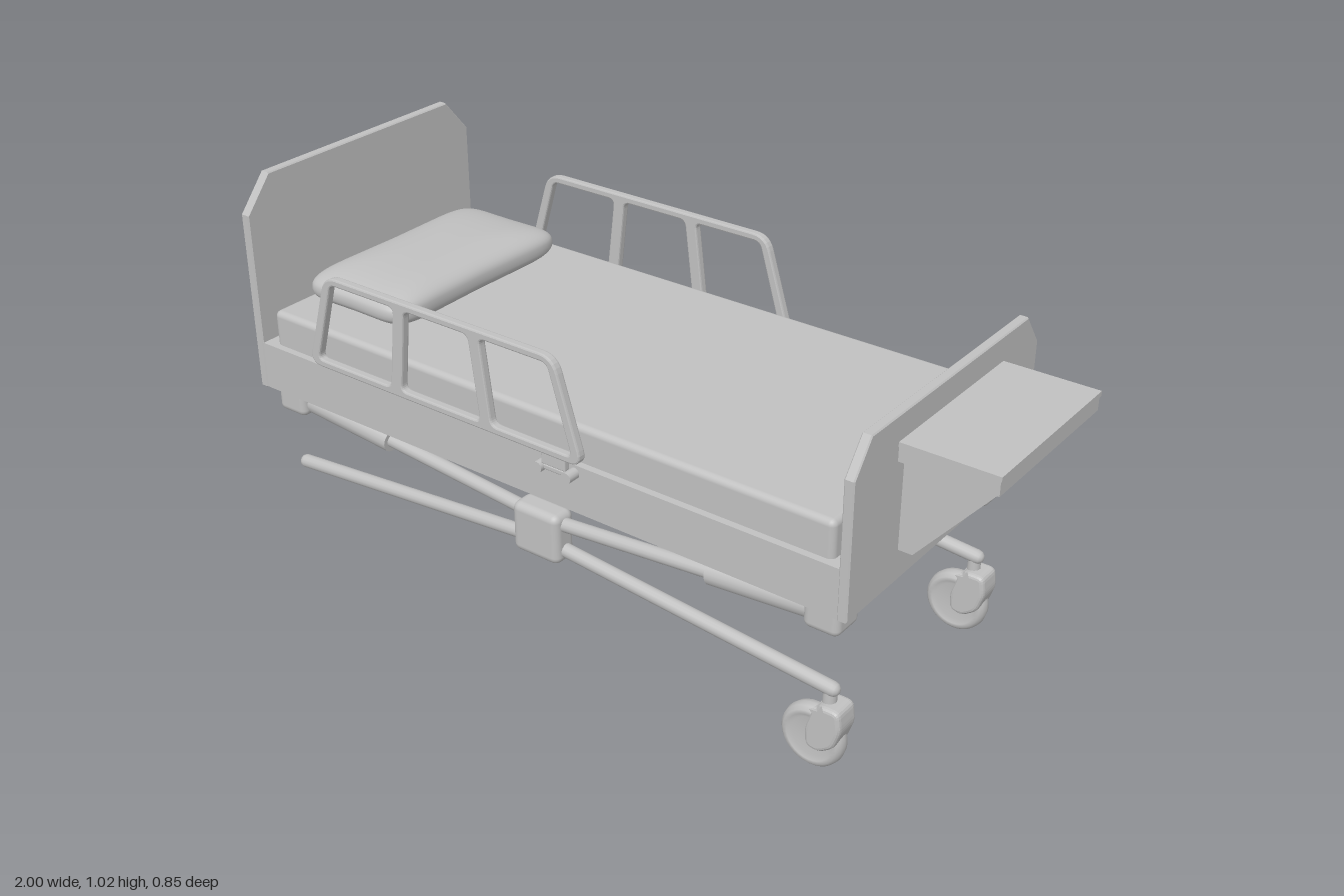
import * as THREE from 'three';
import { mergeVertices } from 'three/addons/utils/BufferGeometryUtils.js';
import { RoundedBoxGeometry } from 'three/addons/geometries/RoundedBoxGeometry.js';

const grey = new THREE.MeshStandardMaterial({ color: 0xc0c0c0 });
grey.name = 'grey';

function add(parent, name, geometry, x = 0, y = 0, z = 0) {
  const mesh = new THREE.Mesh(geometry, grey);
  mesh.name = name;
  mesh.position.set(x, y, z);
  parent.add(mesh);
  return mesh;
}

// Box given by its limits on each axis, with optional rounded edges
function block(parent, name, [x0, x1], [y0, y1], [z0, z1], r = 0) {
  const s = [x1 - x0, y1 - y0, z1 - z0];
  const g = r ? new RoundedBoxGeometry(...s, 3, r) : new THREE.BoxGeometry(...s);
  return add(parent, name, g, (x0 + x1) / 2, (y0 + y1) / 2, (z0 + z1) / 2);
}

// Round bar between two points in the xy plane
function bar(parent, name, [x0, y0], [x1, y1], r, z = 0) {
  const length = Math.hypot(x1 - x0, y1 - y0);
  const g = new THREE.CapsuleGeometry(r, length - r, 3, 14);
  const m = add(parent, name, g, (x0 + x1) / 2, (y0 + y1) / 2, z);
  m.rotation.z = Math.atan2(y1 - y0, x1 - x0) - Math.PI / 2;
  return m;
}

const points = (list) => list.map(([x, y]) => new THREE.Vector2(x, y));

// Closed outline with rounded corners
function roundedPath(list, r, Type) {
  const p = points(list);
  const path = new Type();
  p.forEach((c, i) => {
    const toPrev = p[(i + p.length - 1) % p.length].clone().sub(c).setLength(r).add(c);
    const toNext = p[(i + 1) % p.length].clone().sub(c).setLength(r).add(c);
    if (i === 0) path.moveTo(toPrev.x, toPrev.y);
    else path.lineTo(toPrev.x, toPrev.y);
    path.quadraticCurveTo(c.x, c.y, toNext.x, toNext.y);
  });
  path.closePath();
  return path;
}

// End board with cut-off top corners
function endBoard(parent, name, x, top, shoulder, cut) {
  const shape = new THREE.Shape(points([
    [-0.395, 0.46], [0.395, 0.46], [0.395, shoulder], [cut, top], [-cut, top], [-0.395, shoulder],
  ]));
  const g = new THREE.ExtrudeGeometry(shape, { depth: 0.019, bevelEnabled: true, bevelThickness: 0.003, bevelSize: 0.003, bevelOffset: -0.003, bevelSegments: 1 });
  g.rotateY(Math.PI / 2);
  add(parent, name, g, x + 0.003);
}

// Soft pillow: squared ellipsoid with pinched sides
function pillowGeometry() {
  let g = new THREE.SphereGeometry(1, 48, 32);
  g.deleteAttribute('uv');
  g.deleteAttribute('normal');
  const p = g.attributes.position;
  const pow = (v, e) => Math.sign(v) * Math.abs(v) ** e;
  for (let i = 0; i < p.count; i++) {
    const ring = Math.hypot(p.getX(i), p.getZ(i)) || 1e-6;
    const spread = ring < 1e-4 ? 0 : ring ** 0.65;
    const u = pow(p.getX(i) / ring, 0.32) * spread;
    const w = pow(p.getZ(i) / ring, 0.32) * spread;
    p.setXYZ(i,
      0.178 * u * (0.91 + 0.09 * w * w),
      0.053 * pow(p.getY(i), 0.75),
      0.315 * w * (0.965 + 0.035 * u * u));
  }
  g = mergeVertices(g, 1e-5);
  g.computeVertexNormals();
  return g;
}

// Side rail with three openings and a latch; side is +1 or -1
function sideRail(side) {
  const rail = new THREE.Group();
  rail.name = side > 0 ? 'frontSideRail' : 'backSideRail';
  const shape = roundedPath([[-0.772, 0.605], [0.09, 0.605], [0.012, 0.857], [-0.695, 0.857]], 0.04, THREE.Shape);
  const openings = [
    [[-0.739, 0.624], [-0.495, 0.624], [-0.469, 0.838], [-0.676, 0.838]],
    [[-0.46, 0.624], [-0.212, 0.624], [-0.238, 0.838], [-0.435, 0.838]],
    [[-0.178, 0.624], [0.058, 0.624], [-0.006, 0.838], [-0.204, 0.838]],
  ];
  openings.forEach((o) => shape.holes.push(roundedPath(o, 0.018, THREE.Path)));
  const g = new THREE.ExtrudeGeometry(shape, {
    depth: 0.013, bevelEnabled: true, bevelThickness: 0.005, bevelSize: 0.004, bevelOffset: -0.004, bevelSegments: 2, curveSegments: 6,
  });
  add(rail, 'railFrame', g, 0, 0, side * 0.412 - 0.0065);

  const z = side * 0.41;
  block(rail, 'latchPlate', [-0.035, 0.035], [0.575, 0.61], [z - 0.009, z + 0.009], 0.004);
  block(rail, 'latchBar', [-0.05, 0.05], [0.56, 0.574], [z - 0.012, z + 0.006], 0.004);
  for (const x of [-0.042, 0.042]) {
    const knob = add(rail, 'latchKnob', new THREE.CylinderGeometry(0.014, 0.014, 0.032, 14), x, 0.565, z);
    knob.rotation.x = Math.PI / 2;
  }
  return rail;
}

// Swivelling wheel with its housing
function caster() {
  const group = new THREE.Group();
  group.name = 'caster';
  add(group, 'casterStem', new THREE.CylinderGeometry(0.015, 0.017, 0.05, 14), 0.695, 0.205);
  const outline = roundedPath([
    [0.672, 0.178], [0.69, 0.19], [0.738, 0.19], [0.745, 0.14], [0.728, 0.088], [0.69, 0.062], [0.655, 0.068], [0.652, 0.115],
  ], 0.016, THREE.Shape);
  const housing = new THREE.ExtrudeGeometry(outline, {
    depth: 0.05, bevelEnabled: true, bevelThickness: 0.011, bevelSize: 0.01, bevelOffset: -0.01, bevelSegments: 3, curveSegments: 4,
  });
  add(group, 'casterHousing', housing, 0, 0, -0.025);
  const profile = points([
    [0, -0.016], [0.05, -0.016], [0.06, -0.023], [0.07, -0.022], [0.078, -0.014], [0.081, 0],
    [0.078, 0.014], [0.07, 0.022], [0.06, 0.023], [0.05, 0.016], [0, 0.016],
  ]);
  const wheel = add(group, 'wheel', new THREE.LatheGeometry(profile, 32), 0.66, 0.083);
  wheel.rotation.x = Math.PI / 2;
  return group;
}

// One crossed support linkage under the bed
function linkage(side) {
  const group = new THREE.Group();
  group.name = side > 0 ? 'frontLinkage' : 'backLinkage';
  group.position.z = side * 0.326;
  block(group, 'pivotBlock', [-0.187, -0.047], [0.255, 0.39], [-0.035, 0.035], 0.02);
  block(group, 'headMount', [-0.968, -0.875], [0.388, 0.465], [-0.046, 0.046], 0.018);
  block(group, 'footMount', [0.64, 0.732], [0.388, 0.465], [-0.046, 0.046], 0.018);
  bar(group, 'upperHeadArm', [-0.9, 0.422], [-0.13, 0.356], 0.018);
  bar(group, 'upperFootArm', [0.67, 0.422], [-0.1, 0.354], 0.018);
  bar(group, 'lowerHeadArm', [-0.945, 0.221], [-0.13, 0.293], 0.018);
  bar(group, 'lowerFootArm', [0.71, 0.222], [-0.1, 0.293], 0.018);
  for (const [a, b] of [[[-0.895, 0.422], [-0.607, 0.396]], [[0.66, 0.422], [0.374, 0.396]]]) {
    const length = Math.hypot(b[0] - a[0], b[1] - a[1]);
    const sleeve = add(group, 'armSleeve', new THREE.CylinderGeometry(0.03, 0.032, length, 16), (a[0] + b[0]) / 2, (a[1] + b[1]) / 2);
    sleeve.rotation.z = Math.atan2(b[1] - a[1], b[0] - a[0]) - Math.PI / 2;
  }
  group.add(caster());
  return group;
}

export function createModel() {
  const bed = new THREE.Group();
  bed.name = 'hospitalBed';

  // Bed base, boards and bedding
  block(bed, 'bedBase', [-0.978, 0.745], [0.46, 0.585], [-0.393, 0.393]);
  endBoard(bed, 'headboard', -1, 1.02, 0.93, 0.318);
  endBoard(bed, 'footboard', 0.74, 0.88, 0.8, 0.335);
  block(bed, 'mattress', [-0.945, 0.713], [0.56, 0.677], [-0.375, 0.375], 0.016);
  add(bed, 'pillow', pillowGeometry(), -0.742, 0.726, -0.003);

  // Shelf on the footboard with its wedge-shaped bracket
  block(bed, 'shelfTop', [0.76, 1], [0.804, 0.816], [-0.226, 0.226]);
  block(bed, 'shelfBody', [0.76, 0.997], [0.769, 0.804], [-0.224, 0.224]);
  const wedge = new THREE.Shape(points([[0.76, 0.54], [0.8, 0.54], [0.995, 0.77], [0.76, 0.77]]));
  add(bed, 'shelfBracket', new THREE.ExtrudeGeometry(wedge, { depth: 0.394, bevelEnabled: false }), 0, 0, -0.197);

  for (const side of [1, -1]) bed.add(sideRail(side), linkage(side));
  return bed;
}
